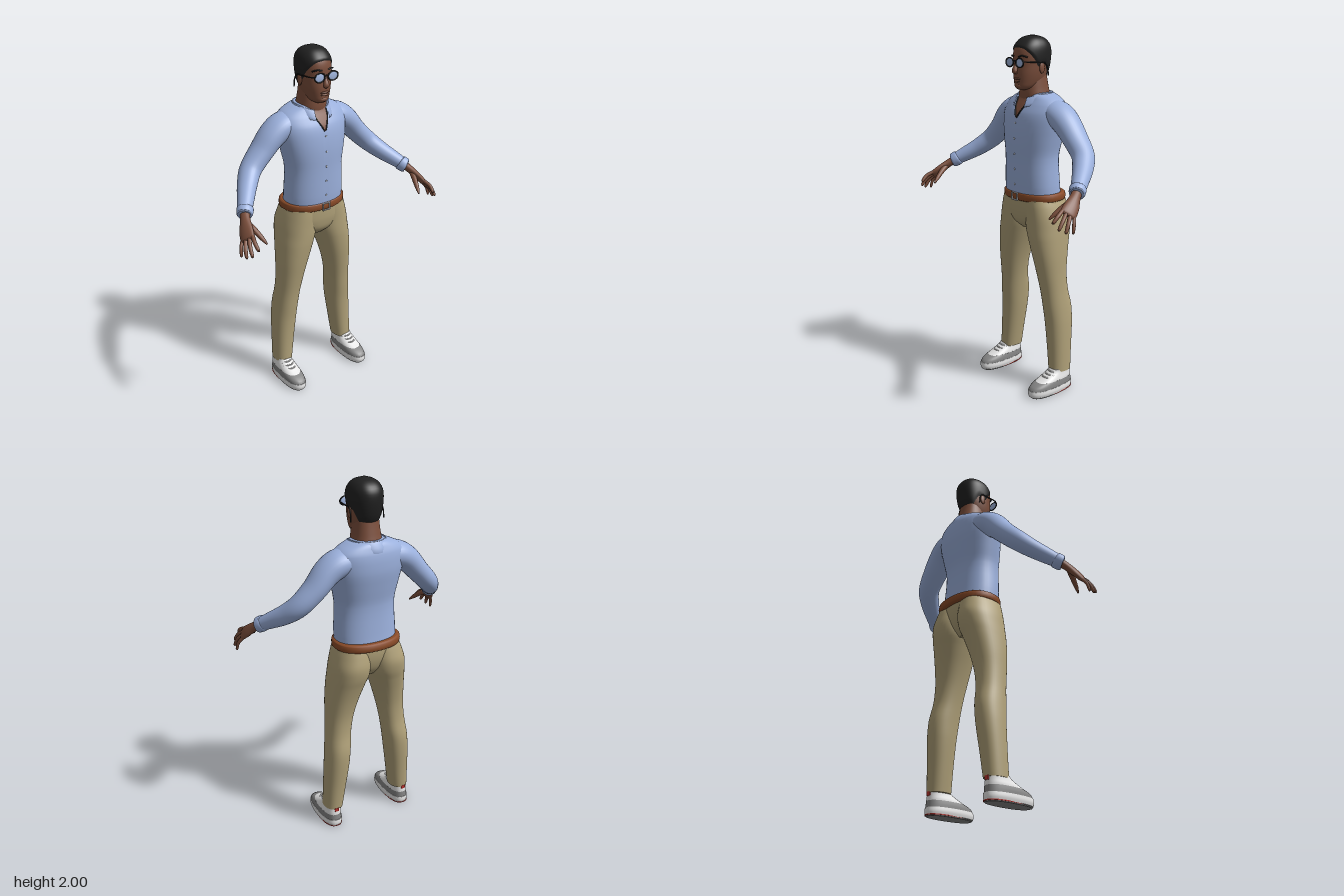
import * as THREE from 'three';

const mat = (name, color) => Object.assign(new THREE.MeshStandardMaterial({ color }), { name });
const V = (x, y, z) => new THREE.Vector3(x, y, z);

// Smooth value of every column of a table at key k (first column, ascending)
function at(rows, k) {
  let i = 0;
  while (i < rows.length - 2 && k > rows[i + 1][0]) i++;
  const a = rows[i], b = rows[i + 1], p = rows[i - 1] || a, q = rows[i + 2] || b;
  const h = b[0] - a[0], t = (k - a[0]) / h, t2 = t * t, t3 = t2 * t;
  return a.map((v, c) => {
    const m0 = (b[c] - p[c]) / (b[0] - p[0]) * h, m1 = (q[c] - v) / (q[0] - a[0]) * h;
    return (2 * t3 - 3 * t2 + 1) * v + (t3 - 2 * t2 + t) * m0 + (3 * t2 - 2 * t3) * b[c] + (t3 - t2) * m1;
  });
}

// Keys of a table with each step divided
const keys = (rows, n) => rows.flatMap((r, i) => i === rows.length - 1 ? [r[0]]
  : Array.from({ length: n }, (_, k) => r[0] + (rows[i + 1][0] - r[0]) * k / n));

// Skin over rings of points; closed rings may get end caps
function loft(rings, closed = true, caps = [true, true]) {
  const n = rings[0].length, pos = [], idx = [], m = closed ? n : n - 1;
  rings.forEach(r => r.forEach(p => pos.push(p.x, p.y, p.z)));
  for (let i = 0; i < rings.length - 1; i++) for (let j = 0; j < m; j++) {
    const a = i * n + j, b = i * n + (j + 1) % n;
    idx.push(a, b, b + n, a, b + n, a + n);
  }
  [rings[0], rings[rings.length - 1]].forEach((r, e) => {
    if (!closed || !caps[e]) return;
    const s = pos.length / 3, c = r.reduce((u, p) => u.add(p), V(0, 0, 0)).divideScalar(n);
    [...r, c].forEach(p => pos.push(p.x, p.y, p.z));
    for (let j = 0; j < n; j++) e ? idx.push(s + j, s + (j + 1) % n, s + n) : idx.push(s + (j + 1) % n, s + j, s + n);
  });
  const g = new THREE.BufferGeometry();
  g.setAttribute('position', new THREE.Float32BufferAttribute(pos, 3));
  g.setIndex(idx);
  g.computeVertexNormals();
  return g;
}

// Point on a body table [y, xMin, xMax, zFront, zBack]; phi 0 is the front, PI/2 is +x
const pw = (v, n) => Math.sign(v) * Math.abs(v) ** (2 / n);
function surf(rows, y, phi, n = 2.25) {
  const [, x0, x1, zf, zb] = at(rows, y);
  return V((x0 + x1) / 2 + (x1 - x0) / 2 * pw(Math.sin(phi), n), y, (zf + zb) / 2 + (zf - zb) / 2 * pw(Math.cos(phi), n));
}
const circle = (n, f) => Array.from({ length: n }, (_, j) => f(j / n * Math.PI * 2));
const body = (rows, n = 2.25, div = 4, seg = 40) => loft(keys(rows, div).map(y => circle(seg, a => surf(rows, y, a, n))));
const sym = rows => rows.map(([y, w, f, b]) => [y, -w, w, f, b]);

// Sweep of ellipses along [x, y, z, radius on ref, radius across]
function sweep(rows, ref, div = 4, seg = 20) {
  const tab = rows.map((r, i) => [i, ...r]), ks = keys(tab, div);
  return loft(ks.map(k => {
    const [, x, y, z, ra, rb] = at(tab, k);
    const p = at(tab, Math.max(0, k - 0.05)), q = at(tab, Math.min(rows.length - 1, k + 0.05));
    const t = V(q[1] - p[1], q[2] - p[2], q[3] - p[3]).normalize();
    const n = ref.clone().addScaledVector(t, -ref.dot(t)).normalize(), b = t.clone().cross(n);
    return circle(seg, a => V(x, y, z).addScaledVector(n, ra * Math.cos(a)).addScaledVector(b, rb * Math.sin(a)));
  }));
}
const ball = (x, y, z, a, b, c) => new THREE.SphereGeometry(1, 20, 14).scale(a, b, c).translate(x, y, z);
const box = (w, h, d, x, y, z) => new THREE.BoxGeometry(w, h, d).translate(x, y, z);
const tube = (pts, r) => new THREE.TubeGeometry(new THREE.CatmullRomCurve3(pts.map(p => V(...p))), 20, r, 8);

function mirrored(g) {
  const m = g.clone().applyMatrix4(new THREE.Matrix4().makeScale(-1, 1, 1)), a = m.index.array;
  for (let i = 0; i < a.length; i += 3) [a[i], a[i + 1]] = [a[i + 1], a[i]];
  return m;
}

export function createModel() {
  const root = new THREE.Group();
  root.name = 'man';
  const shirt = mat('shirt blue', 0x9bb0dc), khaki = mat('khaki', 0xb0a179), skin = mat('skin', 0x7c4f3c),
    black = mat('black', 0x212121), leather = mat('belt leather', 0x8a4b28), grey = mat('shoe grey', 0x858585),
    white = mat('white', 0xe6e6e6), silver = mat('silver', 0xc4c6ca), lens = mat('lens blue', 0xa3b8e0), red = mat('red', 0xb8322c);
  shirt.side = skin.side = THREE.DoubleSide;
  const add = (name, g, m) => { const o = new THREE.Mesh(g, m); o.name = name; root.add(o); };
  const pair = (name, g, m) => { add('left ' + name, g, m); add('right ' + name, mirrored(g), m); };

  // Shirt torso
  const torso = sym([[1.12, .174, .012, -.24], [1.2, .174, .018, -.232], [1.35, .168, .02, -.225], [1.45, .186, .022, -.24],
    [1.53, .202, .016, -.252], [1.59, .208, .002, -.252], [1.635, .2, -.022, -.246], [1.665, .17, -.04, -.236], [1.688, .12, -.05, -.225], [1.7, .08, -.06, -.21]]);
  add('shirt torso', body(torso), shirt);
  const chestZ = (x, y) => {
    const r = at(torso, y), s = Math.min(1, Math.abs(x) / r[2]) ** (2.25 / 2);
    return surf(torso, y, Math.asin(s)).z;
  };

  // Open neckline with dark edge, then placket and buttons
  const vWidth = y => .002 + .042 * Math.min(1, (y - 1.565) / .085);
  const vRows = Array.from({ length: 11 }, (_, i) => 1.568 + i * .0115);
  add('open neckline', loft(vRows.map(y => Array.from({ length: 9 }, (_, j) => {
    const x = (j / 4 - 1) * vWidth(y);
    return V(x, y, chestZ(x, y) + .004);
  })), false), skin);
  pair('neckline edge', tube(vRows.filter((_, i) => i % 3 === 0).map(y => [vWidth(y), y, chestZ(vWidth(y), y) + .004]), .004), black);
  add('placket', loft(Array.from({ length: 16 }, (_, i) => 1.155 + i * .027).map(y =>
    [-.018, 0, .018].map(x => V(x, y, chestZ(x, y) + .003))), false), shirt);
  for (let i = 0; i < 5; i++) {
    const y = 1.2 + i * .085;
    add('button', ball(0, y, chestZ(0, y) + .004, .005, .005, .003), silver);
  }

  // Folded collar: stand, crest and falling leaf
  const collar = [[.082, .082, 1.655, 0], [.09, .09, 1.698, -.025], [.098, .1, 1.7, -.03], [.108, .118, 1.67, -.035], [.112, .124, 1.645, -.02], [.106, .118, 1.642, -.018]];
  add('collar', loft(collar.map(([rx, rz, y, drop]) => Array.from({ length: 41 }, (_, j) => {
    const a = .4 + j / 40 * (2 * Math.PI - .8), f = Math.max(0, Math.cos(a)) ** 2;
    return V(rx * Math.sin(a), y + drop * f, -.122 + rz * Math.cos(a));
  })), false), shirt);

  // Sleeves and cuffs
  const up = V(1, 1, 0);
  pair('sleeve', sweep([[.1, 1.6, -.14, .07, .08], [.175, 1.59, -.138, .072, .088], [.24, 1.55, -.137, .068, .083], [.31, 1.475, -.137, .06, .074],
    [.385, 1.4, -.122, .056, .064], [.44, 1.345, -.07, .05, .056], [.49, 1.3, -.005, .043, .046], [.535, 1.262, .055, .035, .037]], up, 5, 32), shirt);
  pair('cuff', sweep([[.518, 1.276, .036, .036, .038], [.522, 1.272, .041, .043, .044], [.539, 1.257, .062, .041, .042], [.543, 1.254, .067, .034, .035]], up, 3, 28), shirt);

  // Hands
  const w = V(.485, -.485, -.73), knuckle = V(.588, 1.18, .165);
  pair('palm', sweep([[.53, 1.265, .05, .026, .024], [.553, 1.238, .09, .029, .021], [.574, 1.206, .13, .041, .019],
    [.588, 1.18, .165, .043, .015], [.593, 1.172, .176, .034, .008]], w), skin);
  [[.583, 1.146, .262], [.612, 1.115, .248], [.627, 1.098, .215], [.632, 1.09, .172]].forEach((tip, i) => {
    const b = knuckle.clone().addScaledVector(w, (i - 1.5) * .022), e = V(...tip), r = i === 3 ? .009 : .0105;
    const mid = b.clone().lerp(e, .5).add(V(.006, .005, .003)), p = b.clone().lerp(e, .93);
    pair('finger', sweep([[...b, r, r], [...mid, r, r], [...p, r * .8, r * .8], [...e, r * .25, r * .25]], V(1, 1, 0), 3, 12), skin);
  });
  pair('thumb', sweep([[.556, 1.23, .1, .017, .017], [.536, 1.2, .15, .015, .015], [.519, 1.165, .195, .011, .011], [.509, 1.143, .22, .004, .004]], up, 3, 14), skin);

  // Trousers
  add('trouser seat', body(sym([[.94, .06, -.05, -.18], [.98, .13, -.01, -.215], [1.03, .185, .004, -.235], [1.08, .19, .008, -.243], [1.14, .178, .008, -.243]])), khaki);
  pair('trouser leg', body([[.12, .168, .277, -.065, -.197], [.25, .15, .273, -.065, -.207], [.4, .13, .266, -.06, -.221], [.5, .12, .257, -.05, -.222],
    [.6, .108, .246, -.04, -.203], [.7, .088, .24, -.025, -.2], [.8, .06, .236, -.01, -.215], [.9, .026, .228, 0, -.24],
    [.96, .006, .221, .002, -.258], [1.02, .002, .212, .002, -.265], [1.08, .002, .195, .002, -.252], [1.12, .01, .18, 0, -.24]]), khaki);

  // Belt, loops and buckle
  add('belt', body(sym([[1.11, .18, .012, -.255], [1.116, .19, .02, -.267], [1.148, .19, .022, -.267], [1.155, .18, .012, -.255]]), 2.25, 2), leather);
  for (const s of [-1, 1]) {
    add('buckle side', box(.006, .044, .008, s * .022, 1.132, .024), silver);
    add('buckle bar', box(.044, .005, .008, 0, 1.132 + s * .02, .024), silver);
  }

  // Shoes: sole layers from the ground up, then rand, upper and details
  const shoe = rows => body(rows.map(([y, h, f, b]) => [y, .228 - h, .228 + h, f, b]), 2.5, 3, 36);
  pair('outsole', shoe([[0, .055, .088, -.198], [.005, .057, .092, -.2]]), grey);
  pair('outsole line', shoe([[.005, .058, .05, -.204], [.01, .058, .05, -.205]]), red);
  pair('midsole', shoe([[.007, .058, .094, -.202], [.025, .062, .099, -.205], [.045, .06, .096, -.203]]), white);
  pair('toe cap and rand', shoe([[.045, .059, .094, -.2], [.06, .058, .083, -.199], [.072, .056, .062, -.198], [.08, .054, .04, -.197]]), grey);
  pair('shoe upper', shoe([[.078, .054, .044, -.197], [.09, .052, .014, -.196], [.105, .048, -.02, -.194], [.12, .045, -.05, -.192], [.135, .044, -.065, -.19]]), white);
  for (let i = 0; i < 3; i++) pair('lace', tube([[.192, .094 + i * .011, -.03 - i * .02], [.228, .104 + i * .011, -.004 - i * .023], [.264, .094 + i * .011, -.03 - i * .02]], .004), white);
  pair('heel tab', box(.025, .022, .006, .228, .115, -.195), red);

  // Neck and head
  add('neck', body(sym([[1.6, .08, -.045, -.2], [1.68, .08, -.036, -.203], [1.72, .074, -.036, -.195], [1.76, .069, -.04, -.187], [1.8, .065, -.05, -.18]])), skin);
  const head = sym([[1.716, .028, -.01, -.07], [1.728, .048, .004, -.12], [1.755, .063, .008, -.16], [1.8, .075, .01, -.184], [1.85, .081, .007, -.197],
    [1.9, .084, .008, -.202], [1.94, .08, -.002, -.197], [1.968, .066, -.024, -.178], [1.985, .045, -.05, -.15], [1.993, .018, -.08, -.12]]);
  add('head', body(head, 2.25, 5, 48), skin);
  add('nose', sweep([[0, 1.872, .002, .007, .008], [0, 1.845, .012, .01, .011], [0, 1.82, .022, .016, .014], [0, 1.81, .02, .016, .011], [0, 1.804, .012, .01, .006]], V(1, 0, 0)), skin);
  add('upper lip', ball(0, 1.775, .008, .026, .006, .009), skin);
  add('lower lip', ball(0, 1.763, .007, .023, .007, .009), skin);
  add('chin', ball(0, 1.737, -.004, .026, .014, .014), skin);
  pair('ear', ball(.084, 1.832, -.098, .008, .03, .018), skin);
  pair('eyebrow', tube([[.018, 1.89, .009], [.042, 1.896, .005], [.066, 1.889, -.014]], .004), black);

  // Hair grown from the hairline up
  const line = [[0, 1.938], [.5, 1.93], [.9, 1.905], [1.2, 1.875], [1.42, 1.84], [1.6, 1.845], [1.8, 1.85], [2.05, 1.82], [2.35, 1.785], [3.15, 1.772]];
  add('hair', loft(Array.from({ length: 19 }, (_, i) => circle(72, a => {
    const h = at(line, a > Math.PI ? 2 * Math.PI - a : a)[1], t = i / 18, k = Math.min(1, t * 9);
    const p = surf(head, h + (1.993 - h) * Math.sin(t * Math.PI / 2), a), s = 1 + .055 * k;
    return V(p.x * s, p.y + .007 * t, (p.z + .1) * s - .1);
  })), true, [false, true]), black);

  // Glasses
  pair('lens', ball(.042, 1.86, .021, .029, .022, .004), lens);
  pair('lens rim', new THREE.TorusGeometry(1, .13, 8, 32).scale(.031, .024, .03).translate(.042, 1.86, .022), black);
  add('bridge', tube([[-.012, 1.866, .023], [0, 1.87, .026], [.012, 1.866, .023]], .0035), black);
  pair('temple arm', tube([[.07, 1.866, .02], [.084, 1.866, .005], [.09, 1.862, -.06], [.093, 1.858, -.11], [.095, 1.83, -.128], [.096, 1.79, -.132]], .0035), black);
  return root;
}
